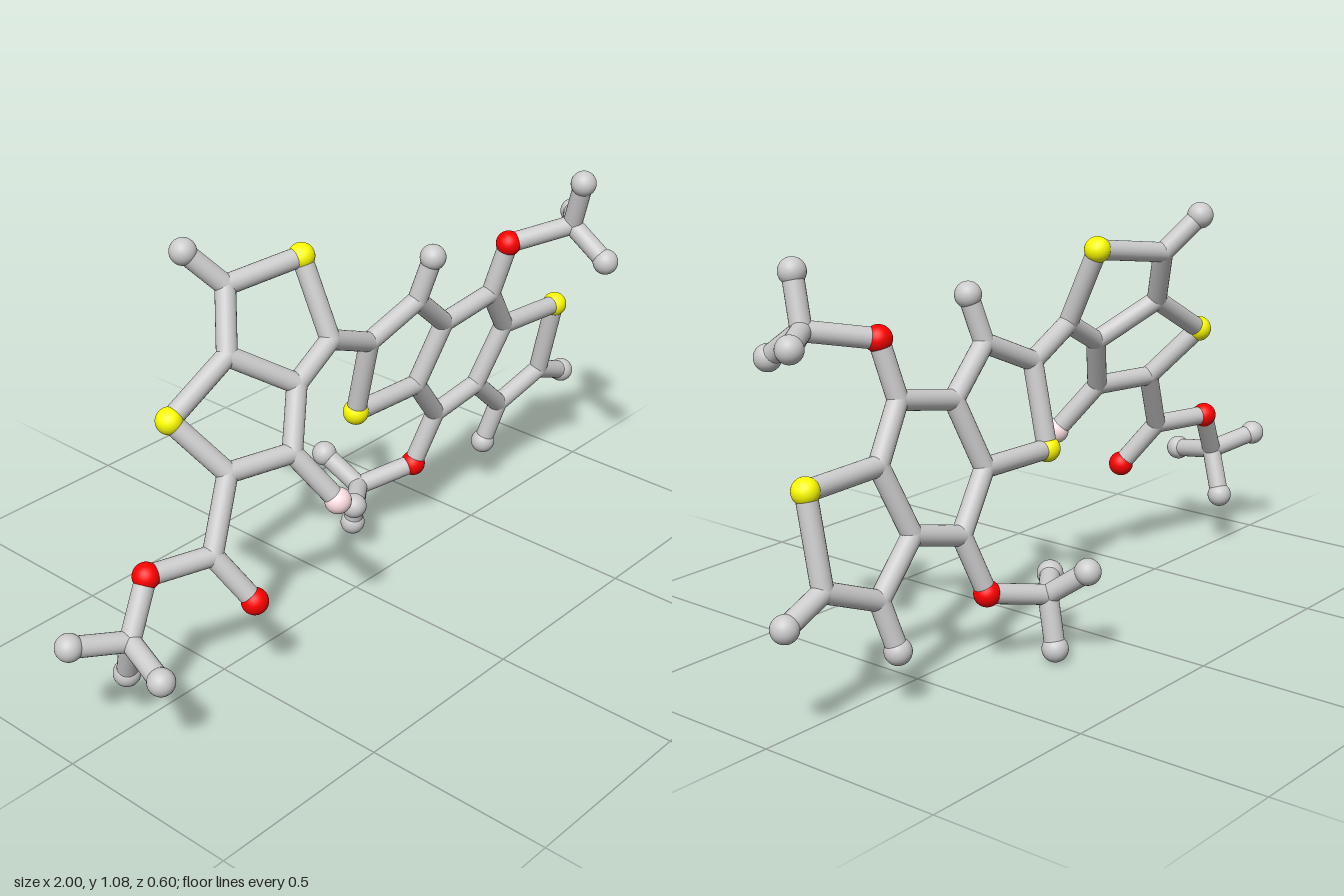
import * as THREE from 'three';

const BALL = 0.034, STICK = 0.026;
const UP = new THREE.Vector3(0, 1, 0);

const materials = {
  grey: new THREE.MeshStandardMaterial({ color: 0xcccccc }),
  yellow: new THREE.MeshStandardMaterial({ color: 0xffff00 }),
  red: new THREE.MeshStandardMaterial({ color: 0xff0000 }),
  pink: new THREE.MeshStandardMaterial({ color: 0xffe0e4 }),
};

// kinds of node: ball colour, radius and part name
const kinds = {
  C: ['grey', STICK, 'joint'],
  H: ['grey', BALL, 'endBall'],
  S: ['yellow', BALL, 'yellowBall'],
  O: ['red', BALL, 'redBall'],
  F: ['pink', BALL, 'pinkBall'],
};

// the fused rings on the right lie in one slightly tilted plane
const onPlane = (kind, x, y) => [kind, x, y, 0.052 + 0.07 * (x - 0.237) + 0.225 * (y - 0.91)];

// each unit: named nodes [kind, x, y, z] and chains of nodes joined by rods
const units = {
  leftRings: {
    nodes: {
      s1: ['S', -0.56, 0.706, -0.09], a: ['C', -0.377, 0.813, -0.077],
      b: ['C', -0.313, 0.957, -0.14], hb: ['H', -0.387, 1.05, -0.203],
      s2: ['S', -0.11, 0.985, -0.08], link: ['C', -0.104, 0.785, 0.008],
      c: ['C', -0.233, 0.715, 0.015], d: ['C', -0.307, 0.572, 0.066],
      f: ['F', -0.24, 0.443, 0.154], e: ['C', -0.48, 0.572, 0.018],
    },
    chains: ['s1 a b s2 link c d e s1', 'a c', 'b hb', 'd f'],
  },
  leftTail: {
    nodes: {
      g: ['C', -0.58, 0.405, 0.06], o1: ['O', -0.525, 0.285, 0.142],
      o2: ['O', -0.745, 0.405, 0.008], m: ['C', -0.83, 0.278, 0.035],
      m1: ['H', -0.967, 0.308, -0.018], m2: ['H', -0.865, 0.25, 0.176],
      m3: ['H', -0.805, 0.153, -0.013],
    },
    chains: ['e g o2 m m1', 'g o1', 'm m2', 'm m3'],
  },
  rightRings: {
    nodes: {
      p: onPlane('C', 0.056, 0.717), q: onPlane('C', 0.212, 0.788),
      hq: onPlane('H', 0.237, 0.908), r: onPlane('C', 0.345, 0.674),
      s3: onPlane('S', 0.06, 0.497), t: onPlane('C', 0.286, 0.497),
      u: onPlane('C', 0.52, 0.706), v: onPlane('C', 0.615, 0.572),
      w: onPlane('C', 0.553, 0.396), x: onPlane('C', 0.4, 0.358),
      s4: onPlane('S', 0.836, 0.562), y: onPlane('C', 0.842, 0.337),
      hy: onPlane('H', 0.964, 0.287), z: onPlane('C', 0.687, 0.276),
      hz: onPlane('H', 0.66, 0.151),
    },
    chains: ['link p q r t s3 p', 'r u v w x t', 'v s4 y z w', 'q hq', 'y hy', 'z hz'],
  },
  upperBranch: {
    nodes: {
      o3: ['O', 0.545, 0.852, 0.06], n: ['C', 0.698, 0.884, 0.155],
      n1: ['H', 0.683, 1.015, 0.194], n2: ['H', 0.81, 0.871, 0.078],
      n3: ['H', 0.703, 0.806, 0.265],
    },
    chains: ['u o3 n n1', 'n n2', 'n n3'],
  },
  lowerBranch: {
    nodes: {
      o4: ['O', 0.35, 0.204, -0.097], k: ['C', 0.197, 0.172, -0.165],
      k1: ['H', 0.17, 0.247, -0.268], k2: ['H', 0.094, 0.182, -0.09],
      k3: ['H', 0.206, 0.038, -0.195],
    },
    chains: ['x o4 k k1', 'k k2', 'k k3'],
  },
};

function makeBall([kind, x, y, z]) {
  const [color, radius, name] = kinds[kind];
  const ball = new THREE.Mesh(new THREE.SphereGeometry(radius, 32, 20), materials[color]);
  ball.position.set(x, y, z);
  ball.name = name;
  return ball;
}

function makeRod(a, b) {
  const from = new THREE.Vector3(...a.slice(1)), to = new THREE.Vector3(...b.slice(1));
  const dir = to.clone().sub(from);
  const rod = new THREE.Mesh(
    new THREE.CylinderGeometry(STICK, STICK, dir.length(), 24, 1, true), materials.grey);
  rod.position.copy(from).add(to).multiplyScalar(0.5);
  rod.quaternion.setFromUnitVectors(UP, dir.normalize());
  rod.name = 'rod';
  return rod;
}

export function createModel() {
  const model = new THREE.Group();
  model.name = 'ballAndStickModel';
  const all = Object.assign({}, ...Object.values(units).map((u) => u.nodes));

  for (const [name, { nodes, chains }] of Object.entries(units)) {
    const group = new THREE.Group();
    group.name = name;
    // balls and joints
    for (const node of Object.values(nodes)) group.add(makeBall(node));
    // rods along each chain
    for (const chain of chains) {
      const ids = chain.split(' ');
      for (let i = 1; i < ids.length; i++) group.add(makeRod(all[ids[i - 1]], all[ids[i]]));
    }
    model.add(group);
  }
  return model;
}
